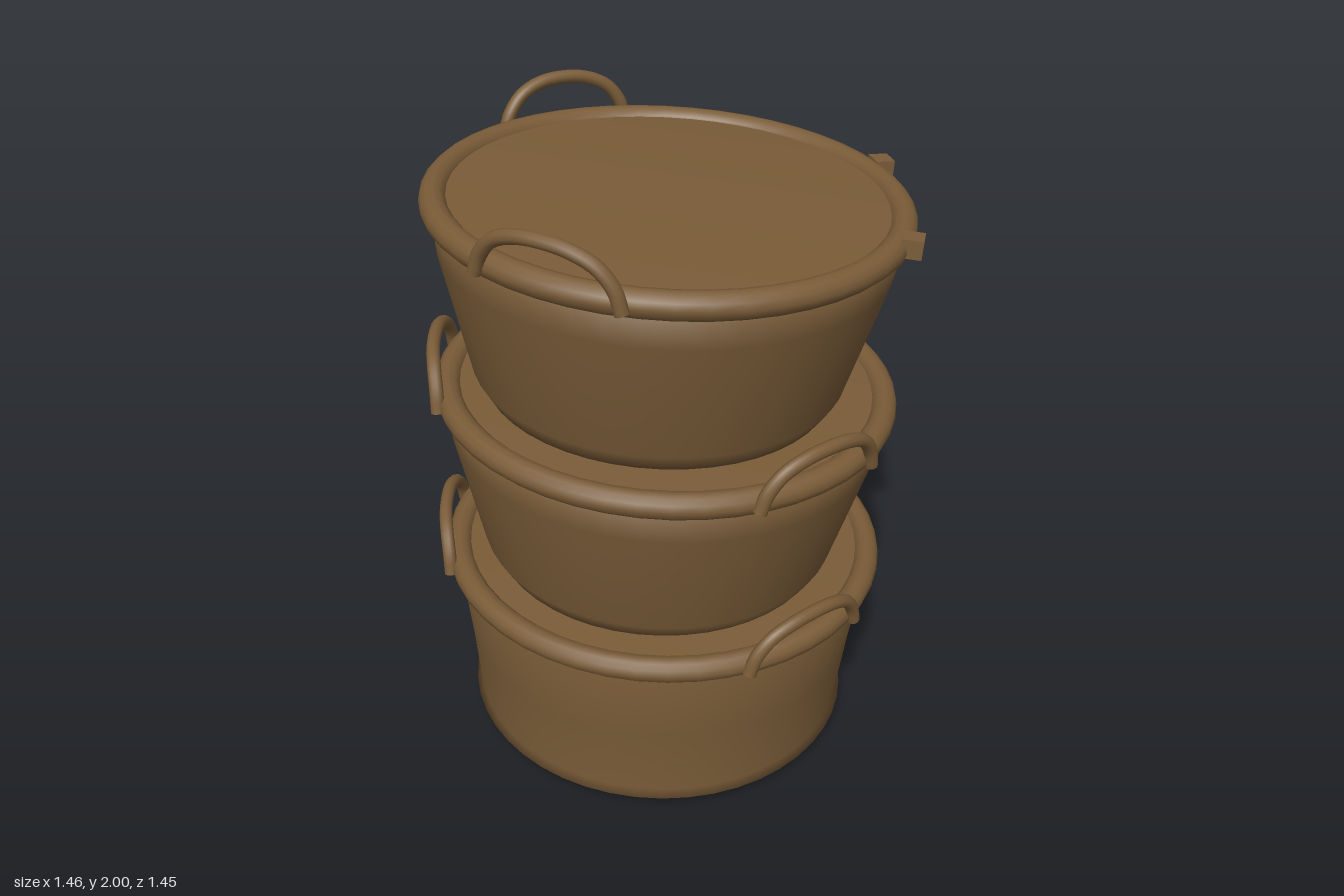
import * as THREE from 'three';

const RIM_R = 0.675, RIM_TUBE = 0.04;

// Arched carrying handle whose feet sit on the outside of the rim
function makeHandle(angle, material) {
  const half = [[0.215, -0.015, 0.685], [0.195, 0.045, 0.69], [0.15, 0.098, 0.7], [0.08, 0.128, 0.71]];
  const points = [
    ...half.map(([s, h, r]) => new THREE.Vector3(r, h, -s)),
    new THREE.Vector3(0.713, 0.136, 0),
    ...half.slice().reverse().map(([s, h, r]) => new THREE.Vector3(r, h, s)),
  ];
  const curve = new THREE.CatmullRomCurve3(points);
  const mesh = new THREE.Mesh(new THREE.TubeGeometry(curve, 32, 0.021, 10), material);
  mesh.rotation.y = -angle;
  mesh.name = 'handle';
  return mesh;
}

// One tub: solid body with a closed top, a rolled rim and handles; y = 0 is the rim height
function makeTub({ name, x, y, tilt, wall, handles }, material) {
  const tub = new THREE.Group();
  tub.name = name;

  // The short tuck under the rim keeps the top rounded in its shading
  const profile = [...wall, [0.63, -0.025], [0.652, 0.015], [0, 0.015]].map(p => new THREE.Vector2(...p));
  const body = new THREE.Mesh(new THREE.LatheGeometry(profile, 48), material);
  body.name = 'body';

  const rim = new THREE.Mesh(new THREE.TorusGeometry(RIM_R, RIM_TUBE, 12, 48), material);
  rim.rotation.x = Math.PI / 2;
  rim.name = 'rim';

  tub.add(body, rim, ...handles.map(a => makeHandle(THREE.MathUtils.degToRad(a), material)));
  tub.position.set(x, y, 0);
  tub.rotation.z = -tilt;
  return tub;
}

export function createModel() {
  const model = new THREE.Group();
  model.name = 'stackedTubs';
  const brown = new THREE.MeshStandardMaterial({ color: 0x7a5c38 });
  brown.name = 'brown';

  const taperedWall = [[0, -0.58], [0.54, -0.58], [0.575, -0.52], [0.672, -0.13], [0.682, -0.03]];

  const bottom = makeTub({
    name: 'bottomTub', x: -0.005, y: 0.635, tilt: 0.03, handles: [180, 53, -53],
    wall: [[0, -0.617], [0.5, -0.617], [0.6, -0.607], [0.642, -0.578], [0.628, -0.55], [0.65, -0.3], [0.68, -0.04]],
  }, brown);
  const middle = makeTub({
    name: 'middleTub', x: 0.005, y: 1.225, tilt: 0.05, handles: [180, 53, -53], wall: taperedWall,
  }, brown);
  const top = makeTub({
    name: 'topTub', x: 0.012, y: 1.832, tilt: 0.055, handles: [118, -118], wall: taperedWall,
  }, brown);

  // Stubs left where the third handle of the top tub is missing
  for (const side of [-1, 1]) {
    const stub = new THREE.Mesh(new THREE.BoxGeometry(0.06, 0.055, 0.065), brown);
    stub.position.set(0.657, 0.015, side * 0.29);
    stub.rotation.y = -side * 0.25;
    stub.name = 'handleStub';
    top.add(stub);
  }

  model.add(bottom, middle, top);
  return model;
}
